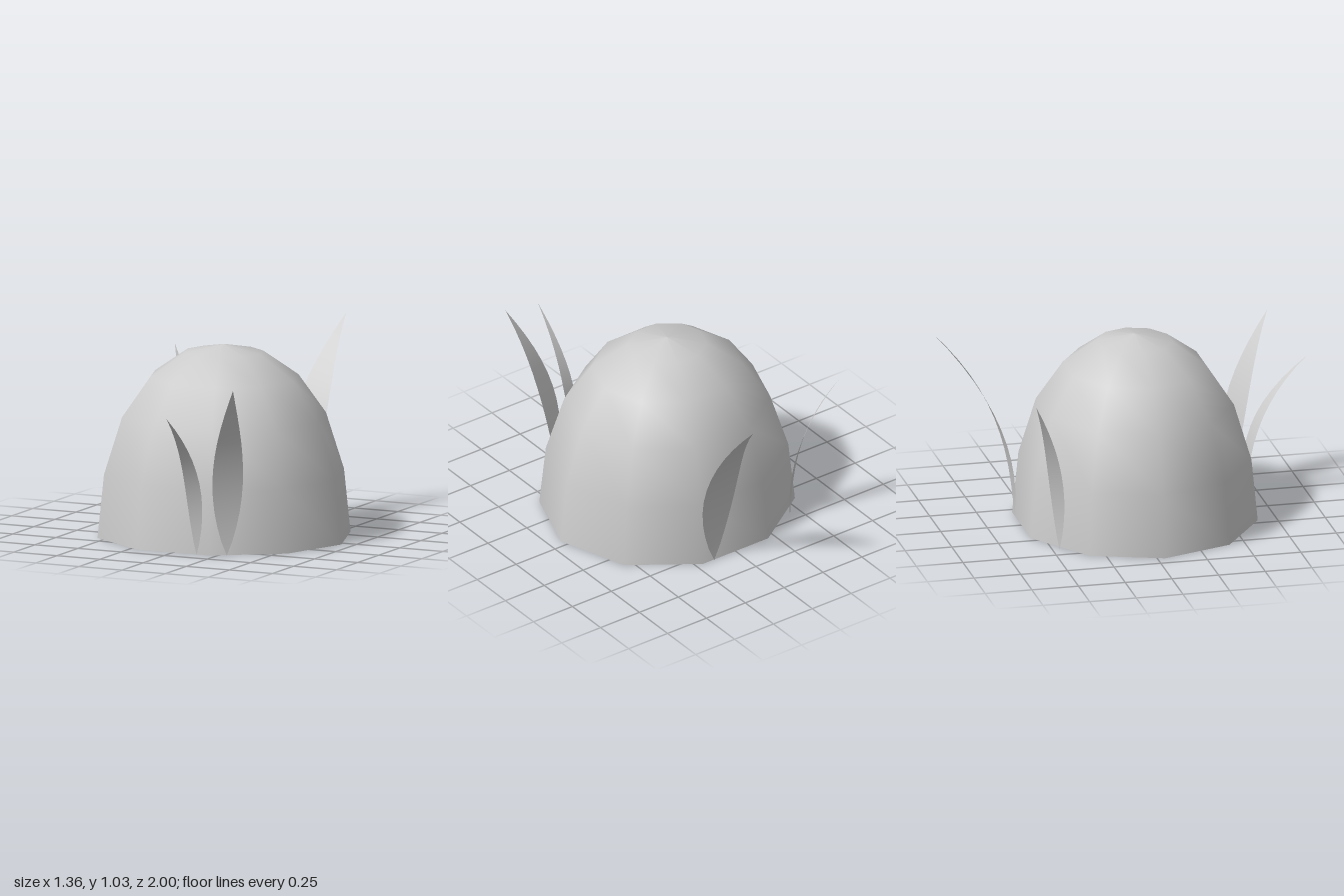
import * as THREE from 'three';

const material = new THREE.MeshStandardMaterial({ color: 0xcccccc, side: THREE.DoubleSide });

// Pointed leaf: a flat strip, widest near the middle, that bends outward toward its tip
function grassBlade(name, { base, tip, across, width, bend = 2.3 }) {
  const geometry = new THREE.PlaneGeometry(1, 1, 2, 12);
  const position = geometry.attributes.position;
  const axis = new THREE.Vector2(...across).normalize();
  for (let i = 0; i < position.count; i++) {
    const t = position.getY(i) + 0.5;
    const offset = position.getX(i) * width * Math.max(0, Math.sin(Math.PI * t ** 0.85));
    const lean = t ** bend;
    position.setXYZ(
      i,
      base[0] + (tip[0] - base[0]) * lean + axis.x * offset,
      tip[1] * t,
      base[1] + (tip[2] - base[1]) * lean + axis.y * offset
    );
  }
  geometry.computeVertexNormals();
  const mesh = new THREE.Mesh(geometry, material);
  mesh.name = name;
  return mesh;
}

export function createModel() {
  const model = new THREE.Group();
  model.name = 'domeWithGrass';

  // Hollow ten-sided dome, open underneath and a little shallower than wide
  const profile = [[0.68, 0], [0.645, 0.335], [0.548, 0.635], [0.4, 0.84], [0.21, 0.97], [0, 1.01]]
    .map(([r, y]) => new THREE.Vector2(r, y));
  const dome = new THREE.Mesh(new THREE.LatheGeometry(profile, 10, Math.PI / 2), material);
  dome.name = 'dome';
  dome.scale.z = 0.94;
  dome.position.z = 0.04;
  model.add(dome);

  // Blades around the foot: base is [x, z], tip is [x, y, z], across is the width direction [x, z]
  model.add(
    grassBlade('frontNarrowBlade', { base: [0.145, 0.662], tip: [0.135, 0.77, 1.0], across: [0.95, -0.3], width: 0.08, bend: 2.7 }),
    grassBlade('frontWideBlade', { base: [0.293, 0.607], tip: [0.45, 0.92, 0.855], across: [0.85, -0.52], width: 0.16 }),
    grassBlade('backTallBlade', { base: [0.14, -0.572], tip: [0.2, 1.03, -1.0], across: [-1, -0.04], width: 0.195 }),
    grassBlade('backSmallBlade', { base: [-0.425, -0.465], tip: [-0.615, 0.865, -0.635], across: [-0.75, 0.66], width: 0.09 })
  );
  return model;
}
